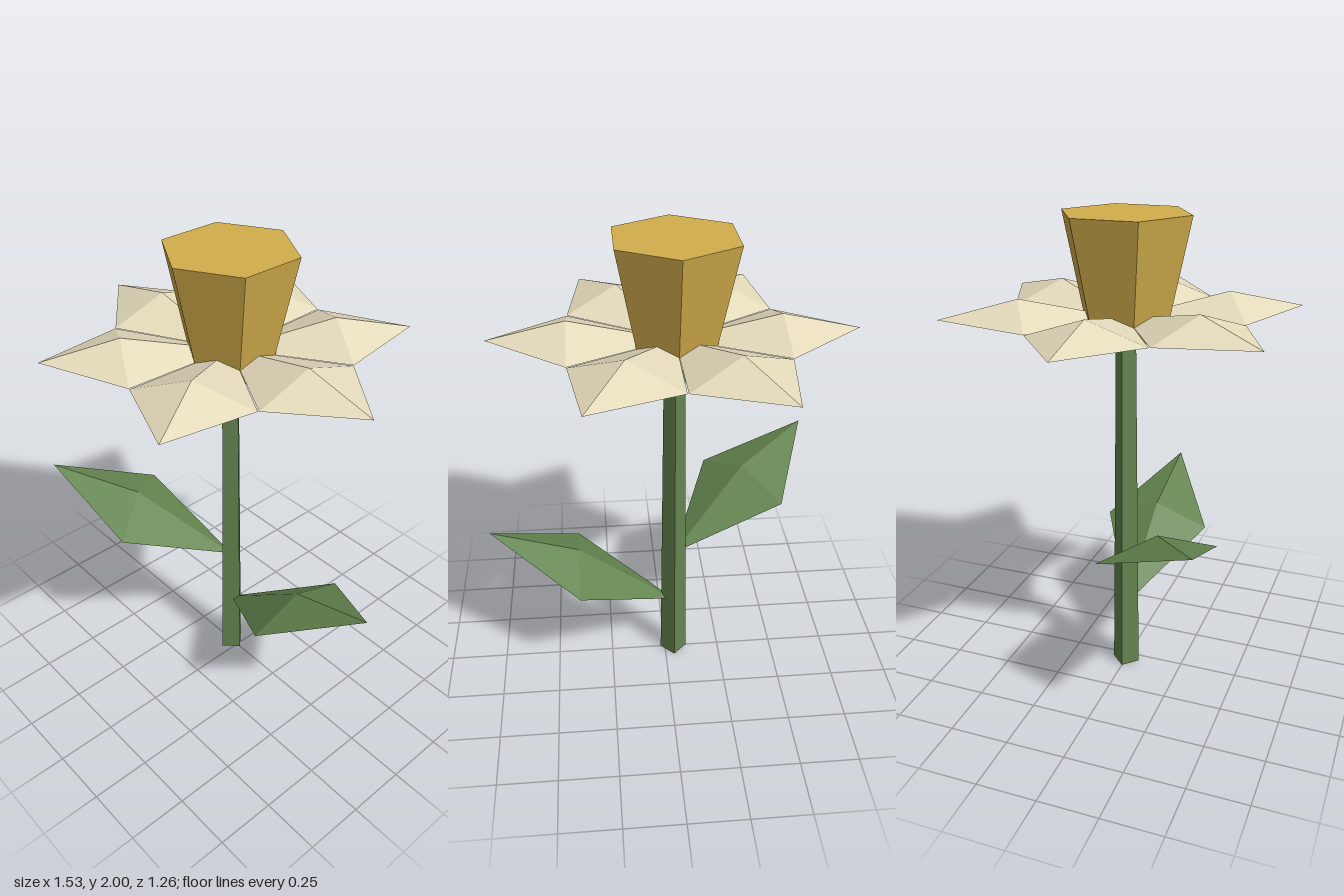
import * as THREE from 'three';

const yellow = new THREE.MeshStandardMaterial({ name: 'trumpetYellow', color: 0xd2ad4b, flatShading: true });
const cream = new THREE.MeshStandardMaterial({ name: 'petalCream', color: 0xe4dabb, flatShading: true, side: THREE.DoubleSide });
const green = new THREE.MeshStandardMaterial({ name: 'leafGreen', color: 0x64854f, flatShading: true, side: THREE.DoubleSide });

// Four-faced folded blade growing along +x from its root at the origin
function bladeGeometry({ length, tipY, midX, midY, halfWidth, ridgeY }) {
  const root = [0, 0, 0], tip = [length, tipY, 0];
  const sideA = [midX, midY, halfWidth], sideB = [midX, midY, -halfWidth];
  const ridge = [midX, ridgeY, 0];
  const rim = [sideA, tip, sideB, root];
  const points = [];
  rim.forEach((p, i) => points.push(...ridge, ...p, ...rim[(i + 1) % 4]));
  const geometry = new THREE.BufferGeometry();
  geometry.setAttribute('position', new THREE.Float32BufferAttribute(points, 3));
  geometry.computeVertexNormals();
  return geometry;
}

export function createModel() {
  const flower = new THREE.Group();
  flower.name = 'flower';

  const add = (name, geometry, material, y, turn = 0) => {
    const mesh = new THREE.Mesh(geometry, material);
    mesh.name = name;
    mesh.position.set(-0.04, y, 0);
    mesh.rotation.y = turn;
    flower.add(mesh);
    return mesh;
  };

  // Square tapering stem, corner to the front
  add('stem', new THREE.CylinderGeometry(0.043, 0.06, 1.52, 4), green, 0.76);

  // Faceted bulb under the bloom
  add('flowerBase', new THREE.IcosahedronGeometry(0.175, 0), yellow, 1.585).scale.y = 0.73;

  // Six-sided trumpet
  add('trumpet', new THREE.CylinderGeometry(0.266, 0.173, 0.433, 6), yellow, 1.7835);

  // Ring of six petals
  const petal = bladeGeometry({ length: 0.73, tipY: 0.022, midX: 0.42, midY: 0.012, halfWidth: 0.24, ridgeY: 0.092 });
  for (let i = 0; i < 6; i++) add('petal' + (i + 1), petal, cream, 1.593, (i * Math.PI) / 3);

  // Lower leaf on the left, upper leaf to the front right
  const lowerLeaf = bladeGeometry({ length: 0.8, tipY: 0.423, midX: 0.42, midY: 0.222, halfWidth: 0.24, ridgeY: 0.31 });
  add('lowerLeaf', lowerLeaf, green, 0.29);
  const upperLeaf = bladeGeometry({ length: 0.8, tipY: 0.38, midX: 0.42, midY: 0.2, halfWidth: 0.25, ridgeY: 0.285 });
  add('upperLeaf', upperLeaf, green, 0.555, Math.atan2(-0.6, -0.8));

  return flower;
}
